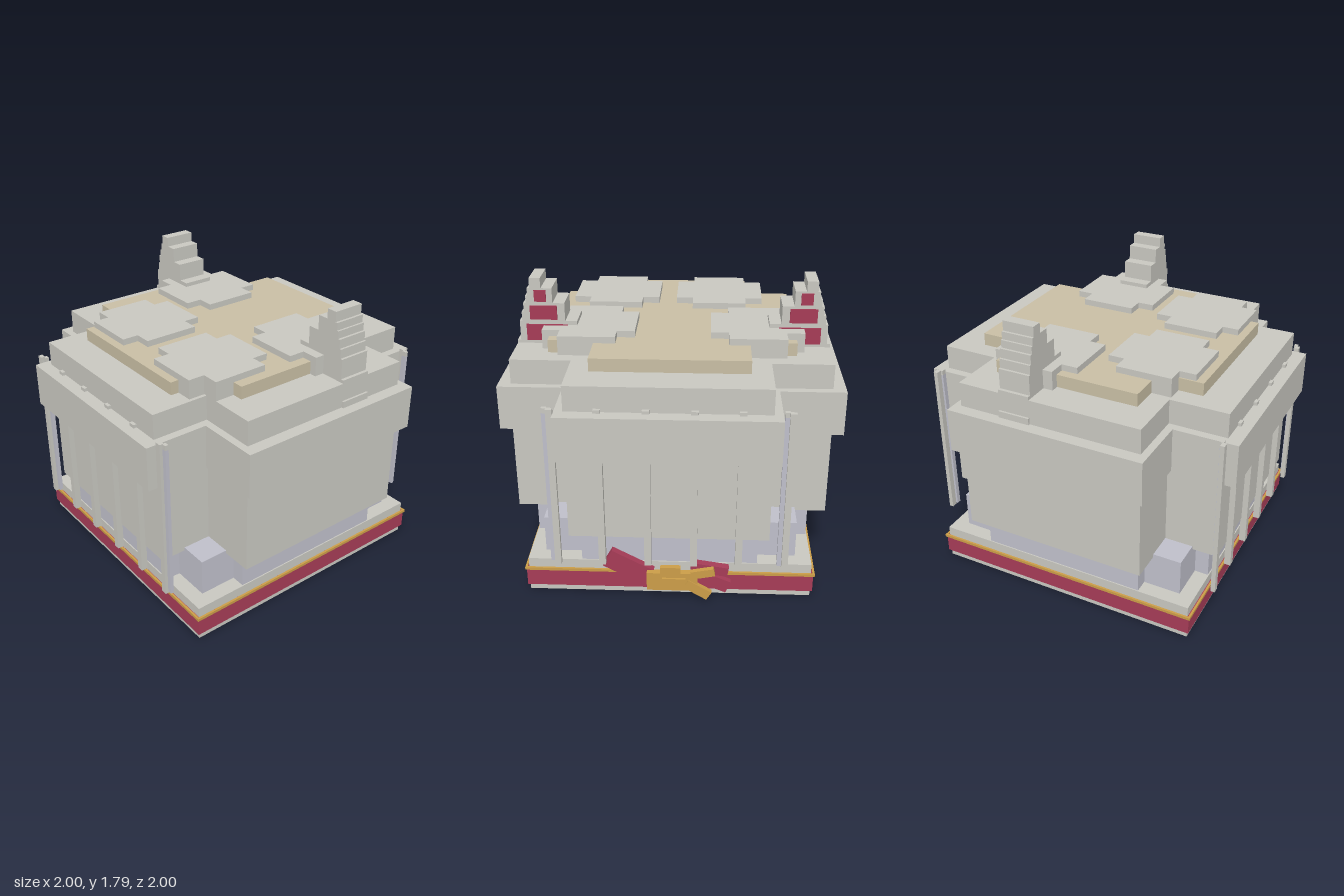
import * as THREE from 'three';

const mat = (name, color) => {
  const m = new THREE.MeshStandardMaterial({ color });
  m.name = name;
  return m;
};

export function createModel() {
  const stone = mat('pale stone', 0xc8c7c0);
  const slate = mat('lavender slate', 0xbfbfca);
  const sand = mat('sand', 0xc8bea4);
  const red = mat('crimson', 0xa63c57);
  const gold = mat('gold', 0xcb9d48);

  const root = new THREE.Group();
  const add = (name, geo, material, parent = root) => {
    const m = new THREE.Mesh(geo, material);
    m.name = name;
    parent.add(m);
    return m;
  };
  // Box given by its lower and upper limits
  const box = (name, material, x0, x1, y0, y1, z0, z1, parent) => {
    const m = add(name, new THREE.BoxGeometry(x1 - x0, y1 - y0, z1 - z0), material, parent);
    m.position.set((x0 + x1) / 2, (y0 + y1) / 2, (z0 + z1) / 2);
    return m;
  };
  const shapeOf = (pts) => new THREE.Shape(pts.map(([x, y]) => new THREE.Vector2(x, y)));
  const slab = (shape, y0, y1) => new THREE.ExtrudeGeometry(shape, { depth: y1 - y0, bevelEnabled: false })
    .rotateX(-Math.PI / 2).translate(0, y0, 0);
  // Plus-shaped slab: arms reach X and Z, the notched corners sit at x, z
  const cross = (name, material, X, x, Z, z, y0, y1) => add(name, slab(shapeOf([
    [X, -z], [X, z], [x, z], [x, Z], [-x, Z], [-x, z],
    [-X, z], [-X, -z], [-x, -z], [-x, -Z], [x, -Z], [x, -z],
  ]), y0, y1), material);
  // Square ring
  const frame = (name, material, outer, inner, y0, y1) => {
    const sq = (r) => [[-r, -r], [r, -r], [r, r], [-r, r]];
    const s = shapeOf(sq(outer));
    s.holes.push(shapeOf(sq(inner).reverse()));
    return add(name, slab(s, y0, y1), material);
  };

  // Hollow base with its coloured bands
  frame('baseFrame', stone, 0.842, 0.735, 0, 0.22);
  frame('redBand', red, 0.855, 0.83, 0.04, 0.158);
  frame('goldTrim', gold, 0.863, 0.85, 0.15, 0.167);

  // Recessed lower storey with corner blocks
  box('lowerCore', slate, -0.75, 0.75, 0.18, 0.45, -0.75, 0.75);
  cross('lowerStorey', slate, 0.835, 0.52, 0.835, 0.52, 0.21, 0.44);

  // Main walls, overhanging band and roof
  cross('mainWalls', stone, 0.935, 0.58, 0.905, 0.575, 0.43, 0.98);
  cross('upperBand', stone, 1, 0.62, 1, 0.615, 0.97, 1.24);
  cross('roofTier', stone, 0.925, 0.57, 0.92, 0.57, 1.23, 1.39);
  cross('roofDeck', sand, 0.72, 0.45, 0.72, 0.45, 1.38, 1.467);

  // Raised roof pads
  for (const [x, z] of [[-0.495, -0.22], [0.49, -0.22], [-0.273, 0.4], [0.382, 0.4]]) {
    const pad = cross('roofPad', stone, 0.272, 0.167, 0.27, 0.17, 1.385, 1.505);
    pad.position.set(x, 0, z);
  }

  // Wall ribs and free-standing corner posts, front and back
  for (const s of [1, -1]) {
    const span = (a, b) => (s > 0 ? [a, b] : [-b, -a]);
    for (const x of [-0.405, -0.145, 0.12, 0.385]) {
      box('wallRib', stone, x - 0.02, x + 0.02, 0.26, 1.26, ...span(0.9, 0.94));
    }
    for (const x of [-0.657, 0.657]) {
      box('cornerPost', stone, x - 0.033, x + 0.004, 0.26, 1.26, ...span(0.918, 0.944));
      box('cornerPostBack', slate, x + 0.002, x + 0.03, 0.27, 1.23, ...span(0.905, 0.926));
      box('cornerPostCap', stone, x + 0.002, x + 0.03, 1.23, 1.26, ...span(0.905, 0.926));
    }
  }

  // Stepped towers with red plates on the back
  const profile = shapeOf([
    [0.565, 1.38], [0.925, 1.38], [0.925, 1.41], [0.905, 1.41], [0.905, 1.53], [0.89, 1.53],
    [0.89, 1.585], [0.877, 1.585], [0.877, 1.64], [0.862, 1.64], [0.862, 1.685], [0.85, 1.685],
    [0.85, 1.73], [0.835, 1.73], [0.835, 1.79], [0.77, 1.79], [0.77, 1.73], [0.705, 1.73],
    [0.705, 1.64], [0.635, 1.64], [0.635, 1.53], [0.565, 1.53],
  ]);
  for (const s of [1, -1]) {
    const tower = new THREE.Group();
    tower.name = s > 0 ? 'leftTower' : 'rightTower';
    root.add(tower);
    const geo = new THREE.ExtrudeGeometry(profile, { depth: 0.195, bevelEnabled: false });
    geo.translate(0, 0, -0.0975);
    if (s < 0) geo.rotateY(Math.PI);
    add('towerBody', geo, stone, tower).position.z = -0.2075;
    const bx = (name, m, a, b, ...r) => box(name, m, ...(s > 0 ? [a, b] : [-b, -a]), ...r, tower);
    bx('towerFoot', stone, 0.9, 0.938, 1.23, 1.28, -0.305, -0.11);
    bx('redPlate', red, 0.62, 0.865, 1.41, 1.51, -0.313, -0.304);
    bx('redPlate', red, 0.68, 0.84, 1.54, 1.625, -0.313, -0.304);
    bx('redPlate', red, 0.74, 0.81, 1.65, 1.72, -0.313, -0.304);
  }

  // Tilted ornament on the back of the base
  const bow = new THREE.Group();
  bow.name = 'backOrnament';
  root.add(bow);
  const tilted = (name, m, x, y, z, w, h, d, a) => {
    const p = add(name, new THREE.BoxGeometry(w, h, d), m, bow);
    p.position.set(x, y, z);
    p.rotation.z = a;
  };
  tilted('redWing', red, 0.24, 0.2, -0.867, 0.28, 0.12, 0.044, 0.5);
  tilted('redWing', red, -0.24, 0.2, -0.867, 0.22, 0.06, 0.044, 0.15);
  tilted('redWing', red, -0.25, 0.12, -0.867, 0.22, 0.08, 0.044, 0.4);
  tilted('goldBody', gold, -0.02, 0.13, -0.905, 0.3, 0.12, 0.03, 0);
  tilted('goldCrest', gold, -0.01, 0.2, -0.905, 0.12, 0.06, 0.03, 0);
  tilted('goldArm', gold, -0.2, 0.19, -0.905, 0.14, 0.05, 0.03, -0.2);
  tilted('goldTail', gold, -0.17, 0.08, -0.912, 0.16, 0.06, 0.03, 0.55);
  tilted('goldKnob', gold, -0.03, 0.13, -0.922, 0.14, 0.06, 0.02, 0);

  return root;
}
